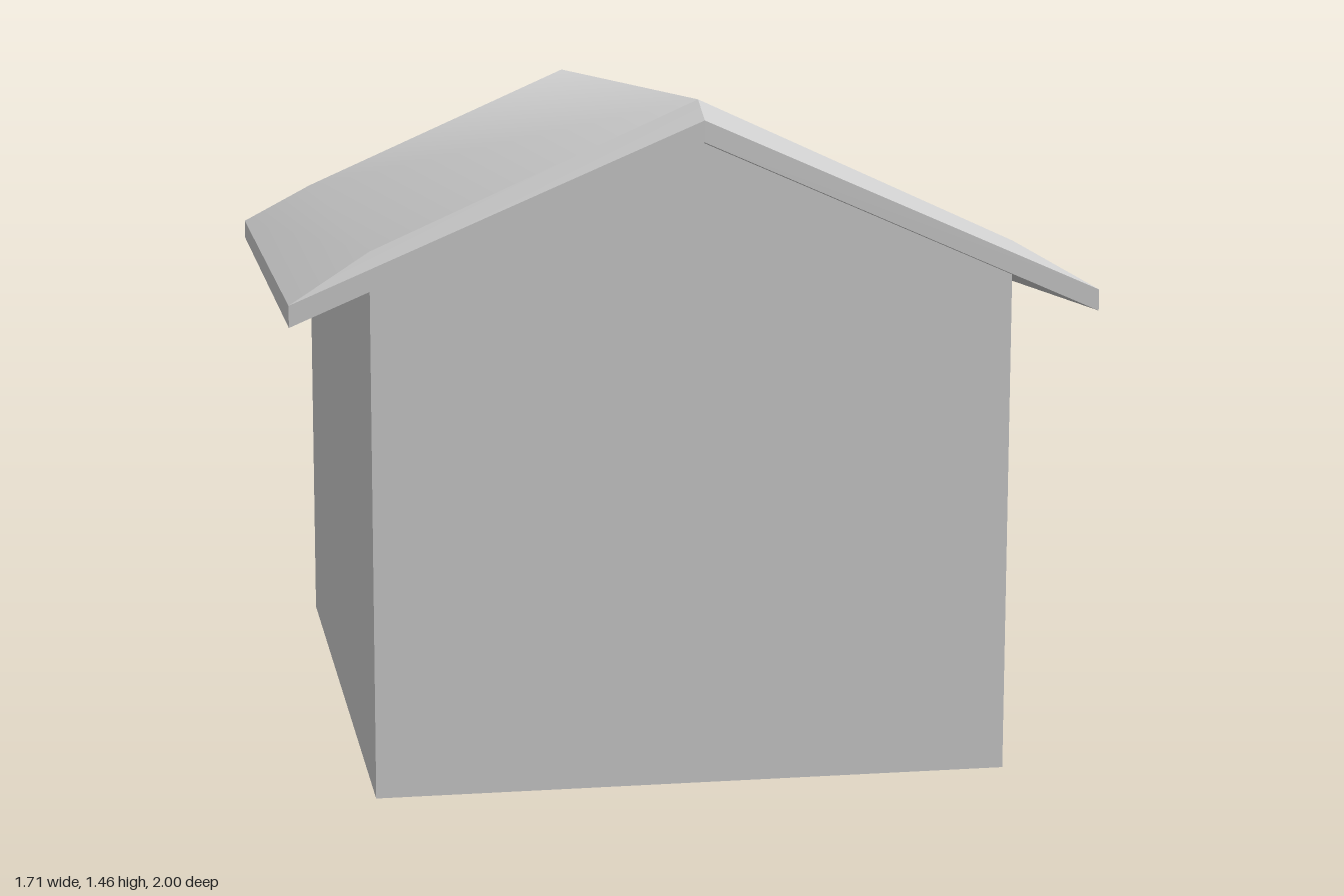
import * as THREE from 'three';

const material = new THREE.MeshStandardMaterial({ color: 0xcccccc, side: THREE.DoubleSide });

// Gabled outline: six corners, counter-clockwise from above, starting at front +x
function gableLoop(halfWidth, eaveY, ridgeY, front, back) {
  return [
    [halfWidth, eaveY, front], [halfWidth, eaveY, back], [0, ridgeY, back],
    [-halfWidth, eaveY, back], [-halfWidth, eaveY, front], [0, ridgeY, front],
  ];
}

// Quads joining a loop to the next one, on the chosen sides
function band(lower, upper, sides = [0, 1, 2, 3, 4, 5]) {
  return sides.map((i) => {
    const j = (i + 1) % 6;
    return [lower[i], lower[j], upper[j], upper[i]];
  });
}

// Mesh from quads; smooth ones share their corners
function quadMesh(name, quads, smooth = false) {
  const positions = [], indices = [], seen = new Map();
  const corner = (p) => {
    const key = p.join();
    if (smooth && seen.has(key)) return seen.get(key);
    const index = positions.length / 3;
    positions.push(...p);
    seen.set(key, index);
    return index;
  };
  for (const quad of quads) {
    const [a, b, c, d] = quad.map(corner);
    indices.push(a, b, c, a, c, d);
  }
  const geometry = new THREE.BufferGeometry();
  geometry.setAttribute('position', new THREE.Float32BufferAttribute(positions, 3));
  geometry.setIndex(indices);
  geometry.computeVertexNormals();
  const mesh = new THREE.Mesh(geometry, material);
  mesh.name = name;
  return mesh;
}

export function createModel() {
  const house = new THREE.Group();
  house.name = 'house';

  const base = gableLoop(0.685, 0, 0, 0.93, -0.915);
  const wallTop = gableLoop(0.685, 1.083, 1.375, 0.93, -0.915);
  const eaveBottom = gableLoop(0.855, 1.01, 1.375, 1, -1);
  const eaveTop = gableLoop(0.855, 1.055, 1.42, 1, -1);
  const roofTop = gableLoop(0.685, 1.155, 1.46, 0.93, -0.915);

  // Walls with gables, open at the bottom
  house.add(quadMesh('walls', band(base, wallTop)));

  // Hollow roof: overhang, edge boards, sloped gable trims and the two slopes
  const roof = new THREE.Group();
  roof.name = 'roof';
  const [a, b, c, d, e, f] = roofTop;
  roof.add(
    quadMesh('eaveUnderside', band(wallTop, eaveBottom)),
    quadMesh('roofEdge', band(eaveBottom, eaveTop)),
    quadMesh('gableTrim', band(eaveTop, roofTop, [1, 2, 4, 5])),
    quadMesh('roofSlopes', [[a, b, c, f], [f, c, d, e], ...band(eaveTop, roofTop, [0, 3])], true),
  );
  house.add(roof);
  return house;
}
